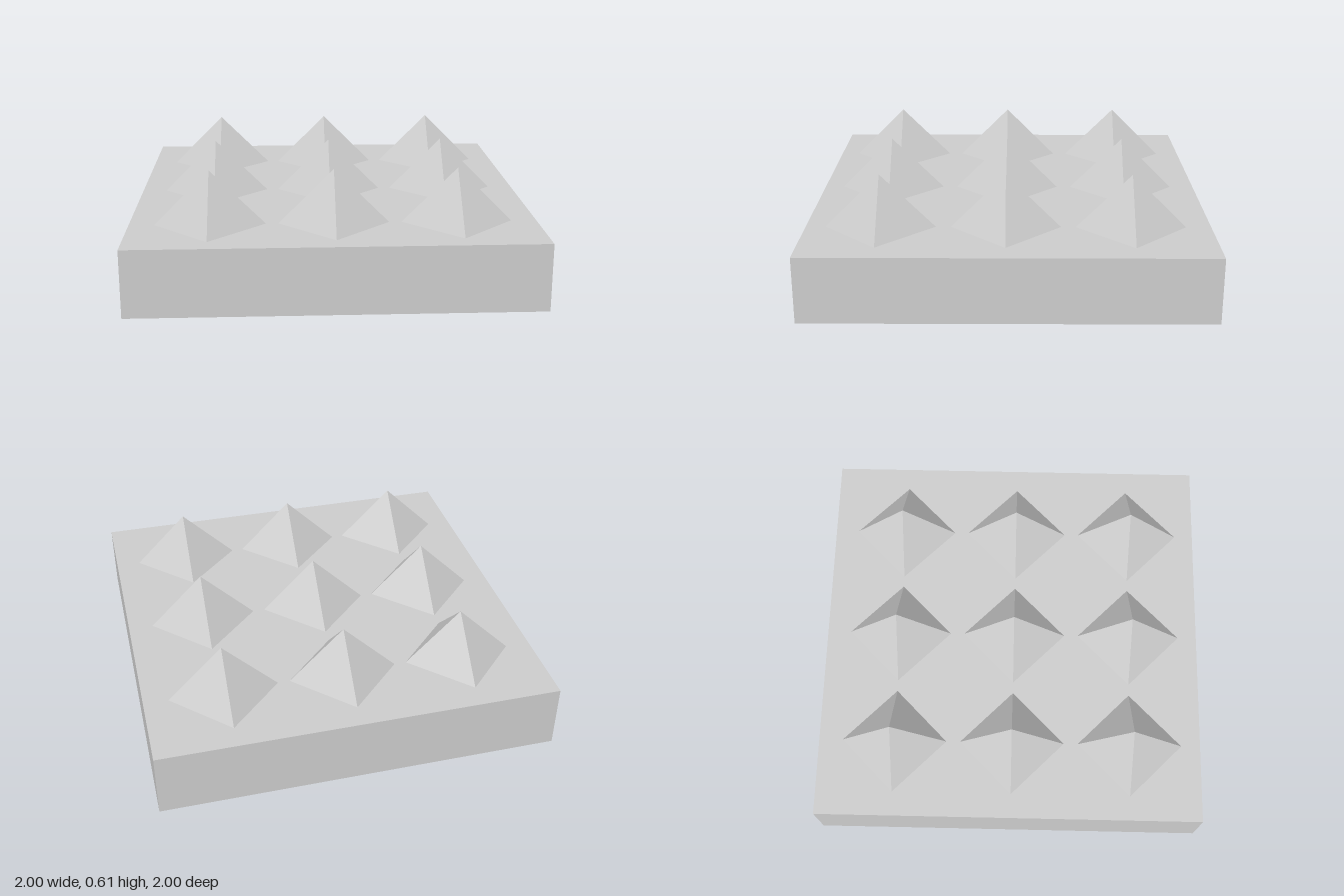
import * as THREE from 'three';

export function createModel() {
  const model = new THREE.Group();
  const material = new THREE.MeshStandardMaterial({ color: 0xcccccc, flatShading: true });

  // Square slab
  const slabHeight = 0.334;
  const slab = new THREE.Mesh(new THREE.BoxGeometry(2, slabHeight, 2), material);
  slab.name = 'slab';
  slab.position.y = slabHeight / 2;
  model.add(slab);

  // Three by three grid of four-sided spikes, corners pointing along x and z
  const spikeSize = 0.272;
  const spikeGeometry = new THREE.ConeGeometry(spikeSize, spikeSize, 4, 1, true);
  const spikes = new THREE.Group();
  spikes.name = 'spikes';
  for (const x of [-0.604, 0, 0.604]) {
    for (const z of [-0.604, 0.012, 0.629]) {
      const spike = new THREE.Mesh(spikeGeometry, material);
      spike.name = 'spike';
      spike.position.set(x, slabHeight + spikeSize / 2, z);
      spikes.add(spike);
    }
  }
  model.add(spikes);

  return model;
}
